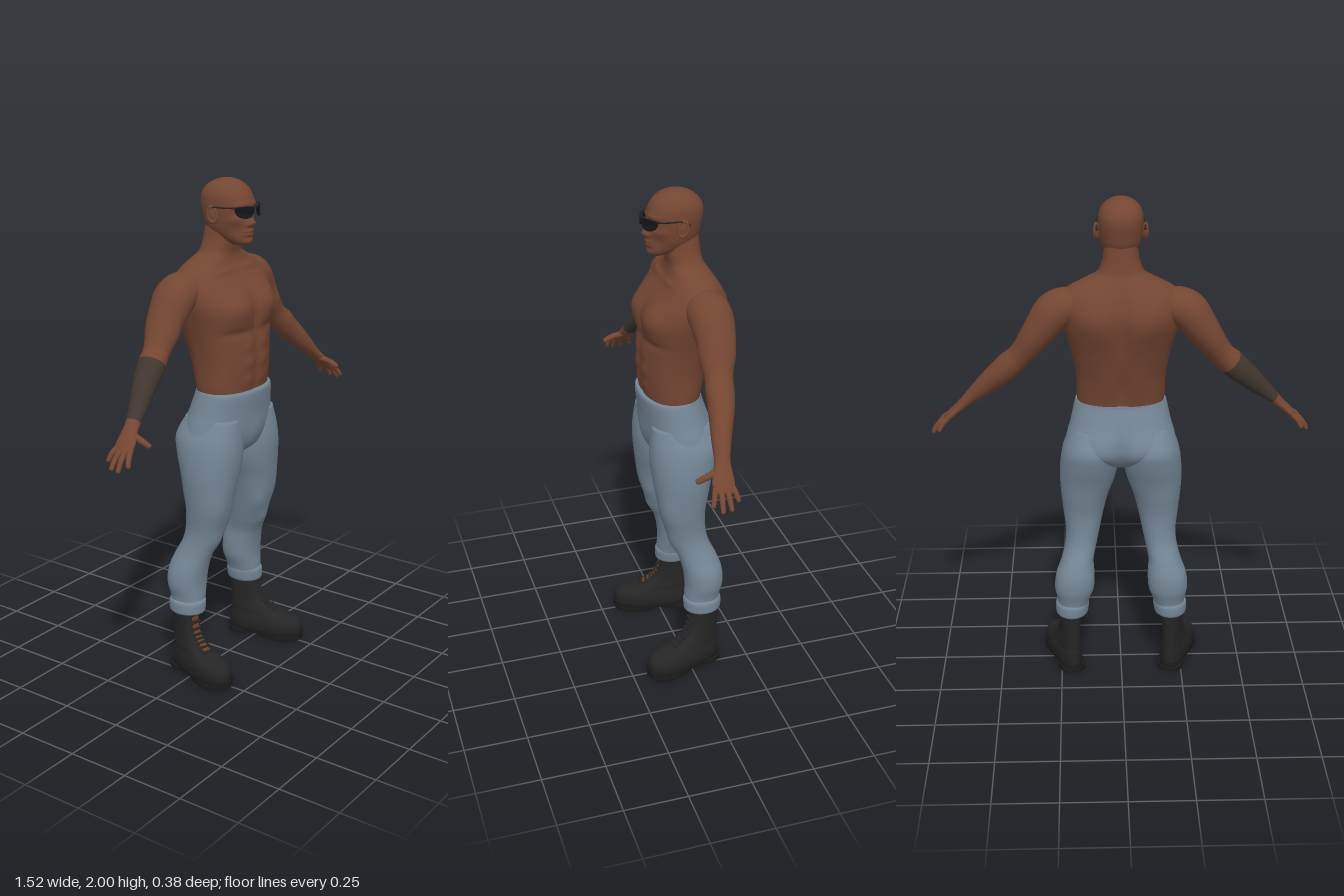
import * as THREE from 'three';

const mat = (name, color) => {
  const m = new THREE.MeshStandardMaterial({ color });
  m.name = name;
  return m;
};

// Catmull-Rom interpolation of whole key rows
function sample(keys, t) {
  const n = keys.length - 1, i = Math.min(Math.floor(t), n - 1), f = t - i;
  const [p, q, r, s] = [-1, 0, 1, 2].map(o => keys[Math.max(0, Math.min(n, i + o))]);
  return q.map((v, k) => v + 0.5 * f * (r[k] - p[k] + f * (2 * p[k] - 5 * v + 4 * r[k] - s[k] + f * (3 * (v - r[k]) + s[k] - p[k]))));
}

// Skin of superellipse rings; key = [x, y, z, radiusAcross, radiusDeep]
// bumps = [x, y, z, sizeX, sizeY, sizeZ, height], applied to both sides of x = 0
function loft(keys, { segs = 48, sub = 5, power = 2, upright = false, bumps = [] } = {}) {
  const rows = (keys.length - 1) * sub, pos = [], idx = [];
  const at = t => new THREE.Vector3(...sample(keys, Math.max(0, Math.min(keys.length - 1, t))).slice(0, 3));
  const se = v => Math.sign(v) * Math.pow(Math.abs(v), 2 / power);
  for (let i = 0; i <= rows; i++) {
    const t = i / sub, k = sample(keys, t), c = at(t);
    const T = upright ? new THREE.Vector3(0, Math.sign(keys[keys.length - 1][1] - keys[0][1]), 0)
      : at(t + 0.1).sub(at(t - 0.1)).normalize();
    const B = new THREE.Vector3(0, 0, -1);
    if (Math.abs(T.z) > 0.9) B.set(0, 1, 0);
    B.addScaledVector(T, -B.dot(T)).normalize();
    const A = B.clone().cross(T);
    for (let j = 0; j < segs; j++) {
      const a = j / segs * Math.PI * 2;
      const p = c.clone().addScaledVector(A, k[3] * se(Math.cos(a))).addScaledVector(B, k[4] * se(Math.sin(a)));
      pos.push(p.x, p.y, p.z);
      if (i < rows) {
        const a0 = i * segs + j, b0 = i * segs + (j + 1) % segs;
        idx.push(a0, b0, b0 + segs, a0, b0 + segs, a0 + segs);
      }
    }
  }
  const end = (rows + 1) * segs;
  pos.push(...at(0).toArray(), ...at(keys.length - 1).toArray());
  for (let j = 0; j < segs; j++) {
    const k = (j + 1) % segs;
    idx.push(end, k, j, end + 1, rows * segs + j, rows * segs + k);
  }
  const g = new THREE.BufferGeometry();
  g.setAttribute('position', new THREE.Float32BufferAttribute(pos, 3));
  g.setIndex(idx);
  g.computeVertexNormals();
  const P = g.attributes.position, N = g.attributes.normal;
  for (let i = 0; i < P.count && bumps.length; i++) {
    const x = P.getX(i), y = P.getY(i), z = P.getZ(i);
    let h = 0;
    for (const b of bumps) h += b[6] * Math.exp(-(((Math.abs(x) - b[0]) / b[3]) ** 2) - ((y - b[1]) / b[4]) ** 2 - ((z - b[2]) / b[5]) ** 2);
    P.setXYZ(i, x + N.getX(i) * h, y + N.getY(i) * h, z + N.getZ(i) * h);
  }
  g.computeVertexNormals();
  return g;
}

// Horizontal section from its extents
const slab = ([y, x0, x1, zb, zf]) => [(x0 + x1) / 2, y, (zb + zf) / 2, (x1 - x0) / 2, (zf - zb) / 2];
const sym = ([y, w, zb, zf]) => slab([y, -w, w, zb, zf]);

function flip(g) {
  g.scale(-1, 1, 1);
  const a = g.index.array;
  for (let i = 0; i < a.length; i += 3) [a[i], a[i + 1]] = [a[i + 1], a[i]];
  return g;
}

export function createModel() {
  const skin = mat('skin', 0x744632), ink = mat('inkedSkin', 0x40362f), denim = mat('denim', 0x748695);
  const leather = mat('blackLeather', 0x252525), sole = mat('sole', 0x1b1b1b), lens = mat('darkLens', 0x14161a);
  const tongue = mat('bootTongue', 0x6b3e26);
  const model = new THREE.Group();
  model.name = 'standingMan';
  const add = (name, g, m, parent = model) => {
    const o = new THREE.Mesh(g, m);
    o.name = name;
    parent.add(o);
    return o;
  };

  // Torso and neck
  add('torso', loft([
    [1.14, 0.165, -0.09, 0.12], [1.2, 0.174, -0.098, 0.126], [1.3, 0.178, -0.12, 0.134], [1.4, 0.195, -0.15, 0.13],
    [1.47, 0.214, -0.17, 0.126], [1.53, 0.232, -0.18, 0.118], [1.58, 0.24, -0.178, 0.095], [1.63, 0.235, -0.162, 0.058],
    [1.665, 0.2, -0.145, 0.035], [1.695, 0.14, -0.127, 0.025], [1.72, 0.092, -0.113, 0.024], [1.76, 0.073, -0.105, 0.032],
    [1.8, 0.066, -0.1, 0.035], [1.84, 0.06, -0.095, 0.035]].map(sym), {
    segs: 80, sub: 7, power: 2.35, upright: true, bumps: [
      [0.095, 1.51, 0.11, 0.08, 0.06, 0.08, 0.024], [0.1, 1.425, 0.12, 0.08, 0.014, 0.06, -0.008],
      [0, 1.5, 0.13, 0.014, 0.09, 0.06, -0.012], [0, 1.3, 0.14, 0.012, 0.12, 0.05, -0.006],
      [0.045, 1.23, 0.13, 0.03, 0.025, 0.05, 0.006], [0.045, 1.3, 0.14, 0.03, 0.025, 0.05, 0.007],
      [0.045, 1.37, 0.14, 0.03, 0.025, 0.05, 0.007], [0, 1.5, -0.18, 0.025, 0.17, 0.06, -0.024],
      [0, 1.25, -0.11, 0.022, 0.1, 0.05, -0.012], [0.1, 1.56, -0.16, 0.07, 0.08, 0.06, 0.016],
      [0.06, 1.28, -0.12, 0.03, 0.08, 0.05, 0.005], [0.08, 1.655, 0.03, 0.06, 0.012, 0.04, 0.006]]
  }), skin);

  // Head with brow, nose, lips and chin
  add('head', loft([
    [1.75, 0.025, 0.02, 0.08], [1.762, 0.042, -0.01, 0.094], [1.785, 0.06, -0.06, 0.097], [1.82, 0.074, -0.096, 0.098],
    [1.87, 0.083, -0.11, 0.098], [1.91, 0.086, -0.116, 0.098], [1.94, 0.083, -0.112, 0.09], [1.965, 0.071, -0.096, 0.073],
    [1.985, 0.05, -0.069, 0.048], [1.996, 0.027, -0.038, 0.02], [2.0, 0.003, -0.01, -0.004]].map(sym), {
    segs: 80, sub: 7, power: 2.2, upright: true, bumps: [
      [0, 1.838, 0.1, 0.014, 0.016, 0.05, 0.022], [0, 1.87, 0.1, 0.01, 0.022, 0.05, 0.012],
      [0.014, 1.833, 0.1, 0.009, 0.009, 0.04, 0.008], [0.035, 1.876, 0.09, 0.018, 0.013, 0.04, -0.012],
      [0.03, 1.908, 0.09, 0.035, 0.01, 0.04, 0.006], [0, 1.807, 0.1, 0.024, 0.006, 0.04, 0.011],
      [0, 1.793, 0.1, 0.022, 0.006, 0.04, 0.01], [0, 1.765, 0.09, 0.025, 0.012, 0.04, 0.006],
      [0.05, 1.81, 0.07, 0.02, 0.025, 0.03, -0.006], [0.06, 1.85, 0.06, 0.02, 0.015, 0.03, 0.004]]
  }), skin);

  // Hips
  add('hips', loft([
    [1.187, 0.178, -0.1, 0.137], [1.17, 0.184, -0.103, 0.142], [1.1, 0.2, -0.125, 0.135], [1.04, 0.217, -0.143, 0.13],
    [0.99, 0.222, -0.145, 0.12], [0.95, 0.17, -0.12, 0.105], [0.92, 0.09, -0.08, 0.075], [0.9, 0.025, -0.03, 0.03]].map(sym), {
    segs: 64, power: 2.2, upright: true, bumps: [
      [0, 1.0, -0.14, 0.022, 0.07, 0.07, -0.022], [0.1, 1.01, -0.13, 0.07, 0.06, 0.05, 0.01], [0, 1.0, 0.13, 0.04, 0.05, 0.05, 0.008]]
  }), denim);

  // Sunglasses
  const glasses = new THREE.Group();
  glasses.name = 'sunglasses';
  model.add(glasses);
  const wrap = g => {
    const P = g.attributes.position;
    for (let i = 0; i < P.count; i++) P.setZ(i, P.getZ(i) + 0.118 - 6 * P.getX(i) ** 2);
    g.computeVertexNormals();
    return g;
  };
  add('browBar', wrap(new THREE.BoxGeometry(0.166, 0.007, 0.006, 24).translate(0, 1.9, 0)), leather, glasses);

  for (const s of [1, -1]) {
    const side = s > 0 ? 'left' : 'right';
    const part = (name, g, m, parent) => add(side + name, s > 0 ? g : flip(g), m, parent);

    // Lens and temple
    const o = new THREE.Shape();
    o.moveTo(0.009, 1.892);
    o.bezierCurveTo(0.015, 1.908, 0.06, 1.906, 0.08, 1.9);
    o.bezierCurveTo(0.08, 1.87, 0.06, 1.857, 0.04, 1.859);
    o.bezierCurveTo(0.02, 1.861, 0.011, 1.875, 0.009, 1.892);
    const lg = new THREE.ExtrudeGeometry(o, { depth: 0.006, bevelEnabled: false, curveSegments: 12 });
    lg.setIndex([...Array(lg.attributes.position.count).keys()]);
    part('Lens', wrap(lg), lens, glasses);
    part('Temple', loft([[0.082, 1.9, 0.082, 0.004, 0.003], [0.092, 1.899, 0.04, 0.004, 0.003], [0.094, 1.897, -0.02, 0.004, 0.003],
      [0.09, 1.88, -0.04, 0.004, 0.003]], { segs: 8 }), leather, glasses);

    // Ear
    const ear = new THREE.SphereGeometry(1, 20, 14).scale(0.009, 0.033, 0.02).rotateX(-0.2).rotateY(-0.3).translate(0.089, 1.868, -0.012);
    part('Ear', ear, skin);
    part('EarRim', new THREE.TorusGeometry(0.02, 0.005, 8, 24).scale(0.9, 1.45, 1).rotateY(Math.PI / 2 - 0.3).rotateX(-0.2).translate(0.095, 1.87, -0.013), skin);

    // Arm down to the knuckles; the right forearm is inked
    const arm = loft([
      [0.15, 1.6, -0.06, 0.045, 0.06], [0.2, 1.597, -0.065, 0.069, 0.08], [0.255, 1.572, -0.07, 0.077, 0.084],
      [0.3, 1.515, -0.071, 0.069, 0.077], [0.345, 1.45, -0.065, 0.058, 0.064], [0.392, 1.39, -0.056, 0.049, 0.053],
      [0.445, 1.337, -0.045, 0.051, 0.053], [0.5, 1.287, -0.03, 0.046, 0.046], [0.56, 1.23, -0.01, 0.035, 0.037],
      [0.615, 1.178, 0.005, 0.023, 0.03], [0.645, 1.15, 0.012, 0.018, 0.035], [0.675, 1.121, 0.02, 0.016, 0.042],
      [0.698, 1.098, 0.024, 0.011, 0.038], [0.706, 1.09, 0.025, 0.004, 0.03]], {
      segs: 40, sub: 6, bumps: [
        [0.33, 1.45, 0.0, 0.05, 0.05, 0.04, 0.006], [0.36, 1.47, -0.12, 0.04, 0.05, 0.04, 0.005],
        [0.3, 1.48, 0.0, 0.02, 0.05, 0.05, -0.004], [0.44, 1.37, -0.03, 0.04, 0.03, 0.05, 0.006]]
    });
    const row = 40 * 6, from = 34 * row, to = 53 * row;
    arm.addGroup(0, from, 0);
    arm.addGroup(from, to - from, s < 0 ? 1 : 0);
    arm.addGroup(to, arm.index.count - to, 0);
    part('Arm', arm, [skin, ink]);

    // Fingers and thumb
    const finger = (name, a, b, c, r) => {
      const tip = c.map((v, i) => v + (c[i] - b[i]) * 0.12);
      part(name, loft([[...a, r, r], [...b, r, r], [...c, r * 0.8, r * 0.8], [...tip, r * 0.2, r * 0.2]], { segs: 12 }), skin);
    };
    [[-0.008, 0.722, 1.064, -0.023], [0.013, 0.748, 1.046, 0.012], [0.034, 0.75, 1.044, 0.045], [0.054, 0.73, 1.06, 0.076]].forEach(([z, x, y, tz], i) =>
      finger('Finger' + (i + 1), [0.685, 1.11, z], [(0.685 + x) / 2 + 0.004, (1.11 + y) / 2 + 0.004, (z + tz) / 2], [x, y, tz], 0.0105));
    finger('Thumb', [0.637, 1.15, 0.025], [0.647, 1.138, 0.07], [0.645, 1.122, 0.108], 0.0125);

    // Trouser leg and rolled cuff
    part('TrouserLeg', loft([
      [1.08, 0.03, 0.196, -0.11, 0.118], [1.0, 0.01, 0.23, -0.15, 0.128], [0.93, 0.008, 0.243, -0.14, 0.13],
      [0.85, 0.025, 0.247, -0.115, 0.122], [0.78, 0.05, 0.243, -0.1, 0.112], [0.7, 0.07, 0.235, -0.086, 0.098],
      [0.62, 0.087, 0.226, -0.088, 0.075], [0.56, 0.1, 0.23, -0.1, 0.052], [0.5, 0.113, 0.246, -0.128, 0.028],
      [0.44, 0.11, 0.268, -0.148, 0.012], [0.38, 0.113, 0.274, -0.15, 0.005], [0.33, 0.13, 0.265, -0.138, 0.007],
      [0.29, 0.14, 0.262, -0.132, 0.008]].map(slab), {
      upright: true, power: 2.15, bumps: [
        [0.16, 0.57, 0.06, 0.035, 0.04, 0.04, 0.008], [0.11, 0.66, 0.07, 0.03, 0.05, 0.04, 0.006], [0.2, 0.72, 0.08, 0.04, 0.07, 0.04, 0.005]]
    }), denim);
    part('Cuff', loft([[0.318, 0.14, 0.26, -0.13, 0.006], [0.305, 0.134, 0.271, -0.141, 0.014], [0.28, 0.136, 0.272, -0.142, 0.014],
      [0.262, 0.14, 0.27, -0.139, 0.012], [0.255, 0.15, 0.26, -0.128, 0.002]].map(slab), { upright: true }), denim);

    // Boot, turned outwards
    const boot = new THREE.Group();
    boot.name = side + 'Boot';
    boot.position.set(s * 0.212, 0, -0.07);
    boot.rotation.y = s * 0.25;
    model.add(boot);
    const keys = [[0.025, 0.056, -0.058, 0.258], [0.06, 0.06, -0.06, 0.26], [0.085, 0.056, -0.06, 0.243], [0.1, 0.052, -0.058, 0.2],
      [0.12, 0.05, -0.058, 0.142], [0.145, 0.046, -0.058, 0.105], [0.17, 0.045, -0.058, 0.082], [0.21, 0.046, -0.06, 0.067], [0.265, 0.048, -0.062, 0.06]];
    const widen = g => {
      const P = g.attributes.position;
      for (let i = 0; i < P.count; i++) P.setX(i, P.getX(i) * (0.85 + 0.28 * THREE.MathUtils.smoothstep(P.getZ(i), -0.06, 0.2)));
      g.computeVertexNormals();
      return g;
    };
    part('BootUpper', widen(loft(keys.map(sym), { upright: true, power: 2.4 })), leather, boot);
    const slabSole = (y0, y1, zb, zf) => widen(loft([[y0, 0.058, zb, zf], [y0 + 0.001, 0.062, zb - 0.004, zf + 0.004],
      [y1 - 0.001, 0.062, zb - 0.004, zf + 0.004], [y1, 0.058, zb, zf]].map(sym), { upright: true, power: 2.5, sub: 1 }));
    part('BootSole', slabSole(0.015, 0.035, -0.062, 0.262), sole, boot);
    part('BootHeel', slabSole(0, 0.018, -0.062, 0.04), sole, boot);
    part('BootTread', slabSole(0, 0.018, 0.07, 0.26), sole, boot);

    // Laces up the front, over the tongue
    for (let i = 0; i < 8; i++) {
      const k = sample(keys, 4 + i * 0.54), k2 = sample(keys, 4.27 + i * 0.54);
      add('lace', new THREE.CapsuleGeometry(0.006, 0.04, 4, 8).rotateZ(Math.PI / 2), leather, boot).position.set(0, k[0], k[3] + 0.002);
      if (i === 7) continue;
      const strip = add('tongue', new THREE.BoxGeometry(0.03, 0.017, 0.006), s < 0 ? tongue : leather, boot);
      strip.position.set(0, k2[0], k2[3]);
      strip.rotation.x = -Math.atan2(k[3] - k2[3], k2[0] - k[0]);
    }
  }
  return model;
}
